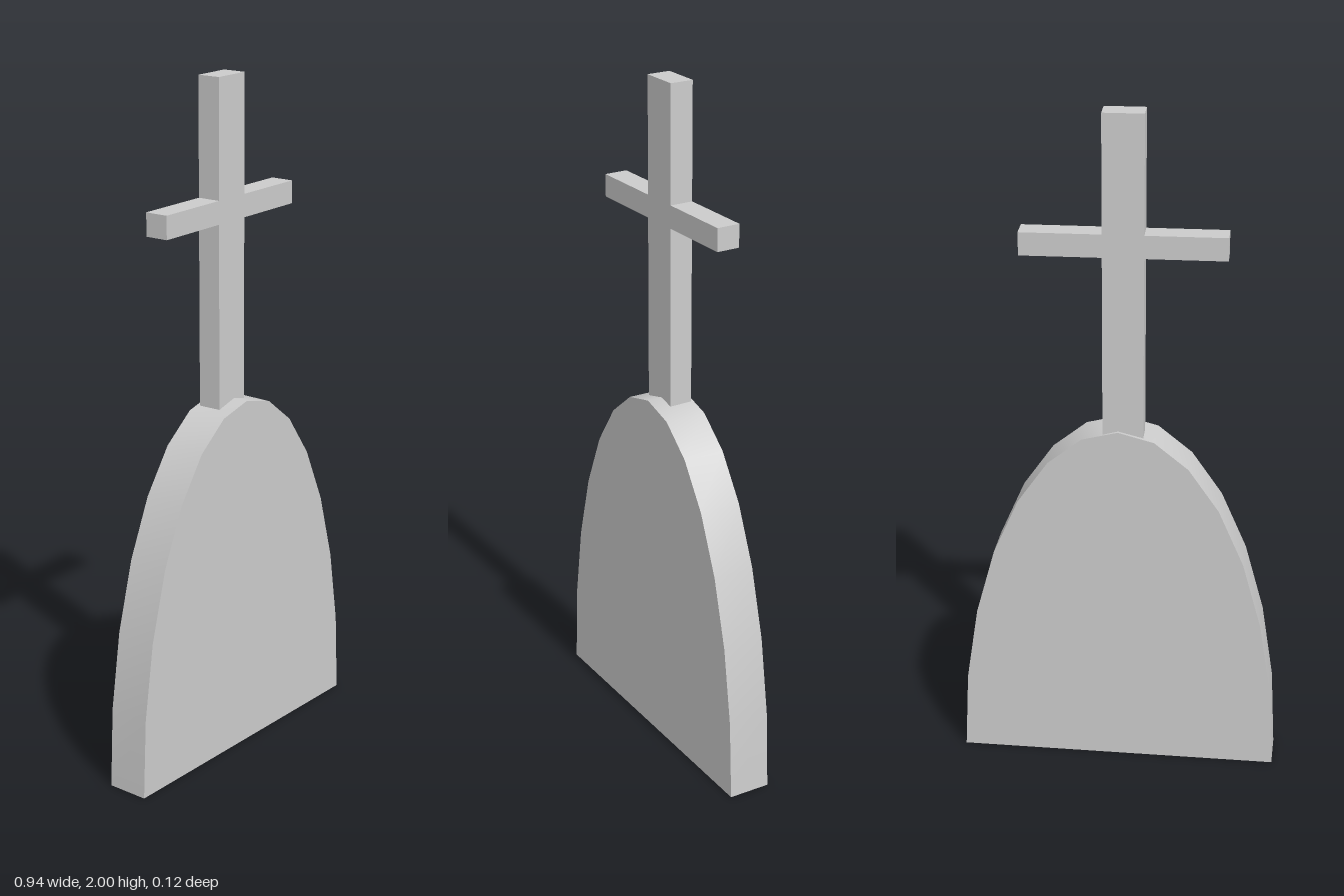
import * as THREE from 'three';
import { toCreasedNormals } from 'three/addons/utils/BufferGeometryUtils.js';

const material = new THREE.MeshStandardMaterial({ color: 0xcccccc });

// Extrudes an outline to the given depth, centred on z = 0
function slab(name, points, depth) {
  const shape = new THREE.Shape(points.map(([x, y]) => new THREE.Vector2(x, y)));
  const geometry = new THREE.ExtrudeGeometry(shape, { depth, bevelEnabled: false });
  geometry.translate(0, 0, -depth / 2);
  const mesh = new THREE.Mesh(toCreasedNormals(geometry, 0.6), material);
  mesh.name = name;
  return mesh;
}

export function createModel() {
  const model = new THREE.Group();
  model.name = 'gravestone';

  // Headstone: half an ellipse in 14 segments, with smooth sides
  const segments = 14;
  const arch = [];
  for (let i = 0; i <= segments; i++) {
    const a = (i / segments) * Math.PI;
    arch.push([0.47 * Math.cos(a), 1.073 * Math.sin(a)]);
  }
  model.add(slab('headstone', arch, 0.125));

  // Cross: post and crossbar in one outline, turned slightly and set off centre
  const post = 0.0585, arm = 0.29, bottom = 1.04, low = 1.593, high = 1.66, top = 2;
  const cross = slab('cross', [
    [-post, bottom], [post, bottom], [post, low], [arm, low], [arm, high], [post, high],
    [post, top], [-post, top], [-post, high], [-arm, high], [-arm, low], [-post, low],
  ], 0.07);
  cross.position.set(-0.013, 0, -0.018);
  cross.rotation.y = 0.029;
  model.add(cross);

  return model;
}
